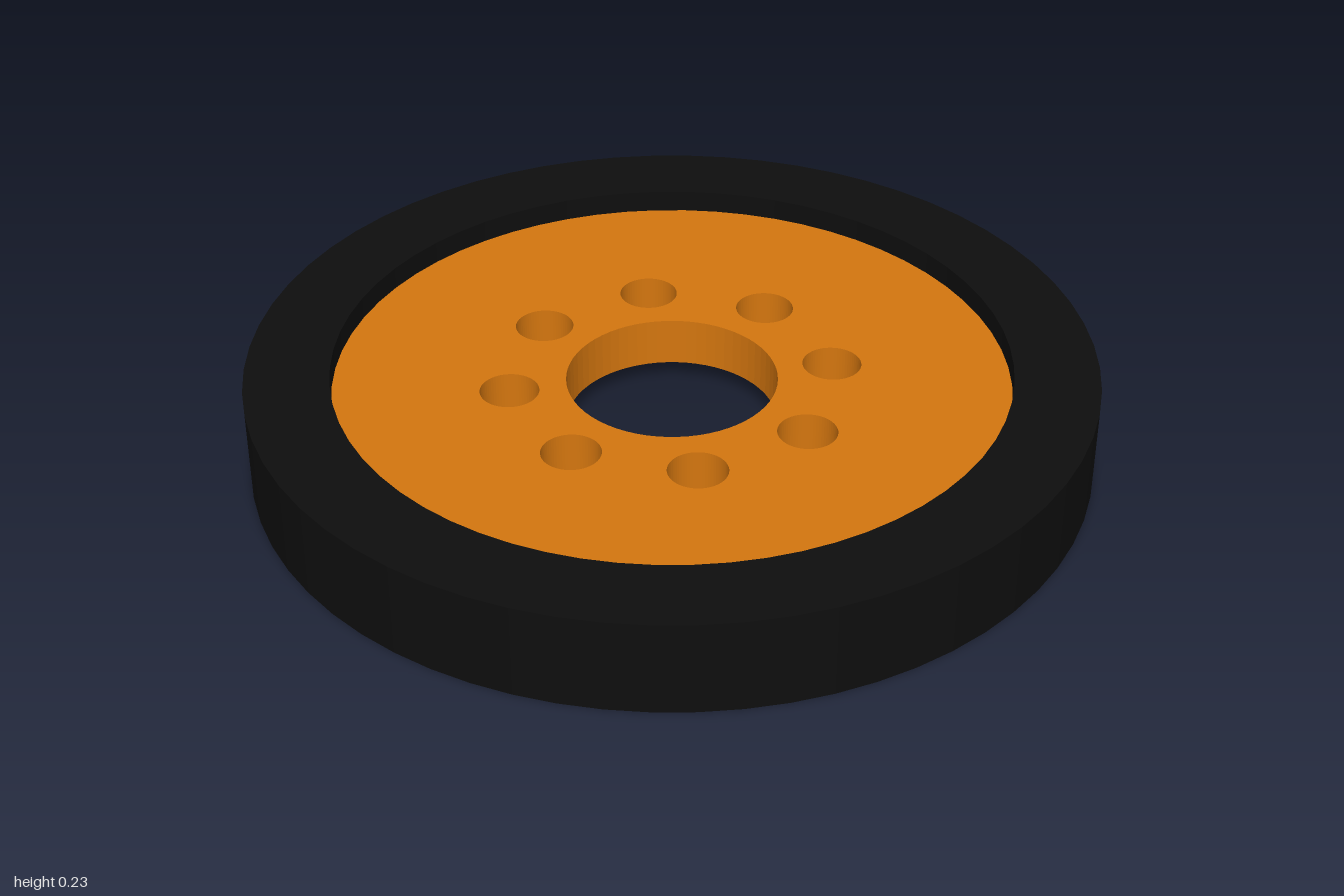
import * as THREE from 'three';

const TAU = Math.PI * 2;

function circle(PathType, radius, x = 0, y = 0) {
  return new PathType().absarc(x, y, radius, 0, TAU, false);
}

// Round plate lying flat, from height y0 to y1, with circular holes
function plate(name, radius, holes, y0, y1, color) {
  const shape = circle(THREE.Shape, radius);
  shape.holes = holes;
  const geometry = new THREE.ExtrudeGeometry(shape, {
    depth: y1 - y0, bevelEnabled: false, curveSegments: 32,
  });
  geometry.rotateX(-Math.PI / 2).translate(0, y0, 0);
  const mesh = new THREE.Mesh(geometry, new THREE.MeshStandardMaterial({ color }));
  mesh.name = name;
  return mesh;
}

export function createModel() {
  const group = new THREE.Group();
  group.name = 'wheel';

  // Tyre: plain ring, standing proud of the hub on both faces
  group.add(plate('tyre', 1, [circle(THREE.Path, 0.8)], 0, 0.23, 0x0e0e0e));

  // Hub: recessed disc with a centre bore and a ring of eight bolt holes
  const holes = [circle(THREE.Path, 0.25)];
  for (let i = 0; i < 8; i++) {
    const a = (i / 8) * TAU;
    holes.push(circle(THREE.Path, 0.07, 0.385 * Math.cos(a), 0.385 * Math.sin(a)));
  }
  group.add(plate('hub', 0.8, holes, 0.055, 0.175, 0xd4760f));

  return group;
}
